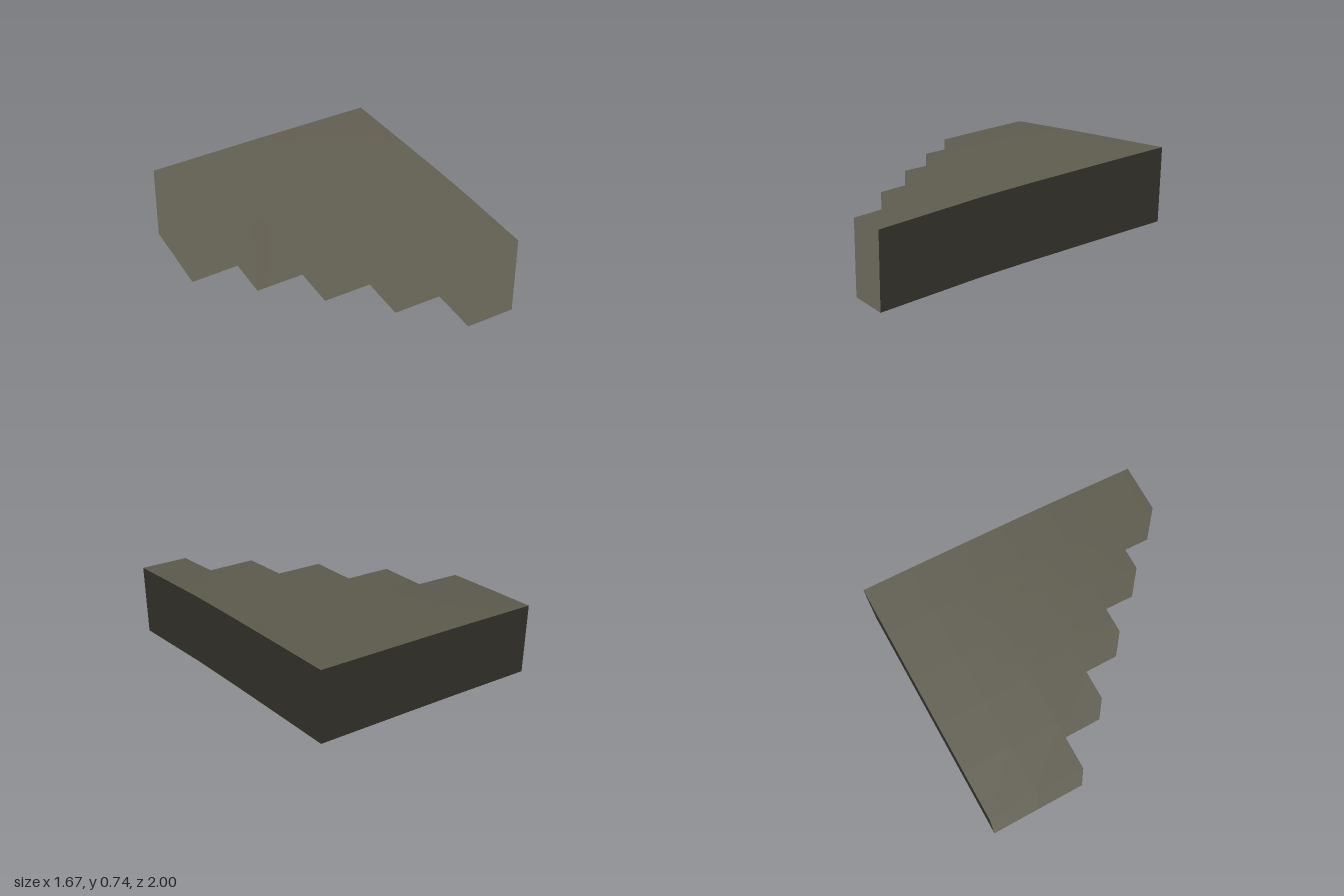
import * as THREE from 'three';

const COLS = 5, ROWS = 6, CELL = 1 / 3, DEPTH = 0.5;

// Top heights, one row per z line from back to front, right-aligned at +x
const HEIGHTS = [
  [0.560, 0.598, 0.636, 0.672, 0.707, 0.742],
  [0.531, 0.570, 0.609, 0.645, 0.680, 0.714],
  [0.500, 0.540, 0.580, 0.616, 0.651, 0.685],
  [0.515, 0.551, 0.587, 0.621, 0.655],
  [0.523, 0.557, 0.590, 0.622],
  [0.520, 0.550, 0.580],
  [0.508, 0.538],
];

// The plan is a staircase: each row past the second loses one cell
const hasCell = (i, j) => i >= Math.max(0, j - 1) && i < COLS && j >= 0 && j < ROWS;

export function createModel() {
  const group = new THREE.Group();
  group.name = 'steppedTerrainTile';
  const ground = new THREE.MeshStandardMaterial({ color: 0x605d50, side: THREE.DoubleSide });
  ground.name = 'dark olive ground';

  // Every grid point gives a surface vertex and a skirt vertex straight below it
  const positions = [], surfaceId = {};
  HEIGHTS.forEach((row, j) => row.forEach((y, k) => {
    const i = COLS + 1 - row.length + k;
    const x = (i - COLS / 2) * CELL, z = (j - ROWS / 2) * CELL;
    surfaceId[`${i},${j}`] = positions.length / 3;
    positions.push(x, y, z, x, y - DEPTH, z);
  }));

  const surface = [], skirt = [];
  for (let j = 0; j < ROWS; j++) {
    for (let i = 0; i < COLS; i++) {
      if (!hasCell(i, j)) continue;
      // Corners in order: back right, front right, front left, back left
      const c = [[i, j], [i, j + 1], [i + 1, j + 1], [i + 1, j]].map((p) => surfaceId[p.join()]);
      surface.push(c[0], c[1], c[2], c[0], c[2], c[3]);

      // Skirt wall on every side without a neighbour; the underside stays open
      const neighbours = [[i - 1, j], [i, j + 1], [i + 1, j], [i, j - 1]];
      neighbours.forEach(([a, b], k) => {
        if (hasCell(a, b)) return;
        const p = c[k], q = c[(k + 1) % 4];
        skirt.push(p + 1, q + 1, q, p + 1, q, p);
      });
    }
  }

  // The skirt takes its normals from the surface, so both shade as one
  const surfaceGeometry = new THREE.BufferGeometry();
  surfaceGeometry.setAttribute('position', new THREE.Float32BufferAttribute(positions, 3));
  surfaceGeometry.setIndex(surface);
  surfaceGeometry.computeVertexNormals();
  const normal = surfaceGeometry.getAttribute('normal');
  for (let v = 0; v < normal.count; v += 2) {
    normal.setXYZ(v + 1, normal.getX(v), normal.getY(v), normal.getZ(v));
  }
  const skirtGeometry = surfaceGeometry.clone().setIndex(skirt);

  for (const [name, geometry] of [['groundSurface', surfaceGeometry], ['skirtWalls', skirtGeometry]]) {
    const mesh = new THREE.Mesh(geometry, ground);
    mesh.name = name;
    group.add(mesh);
  }
  return group;
}
